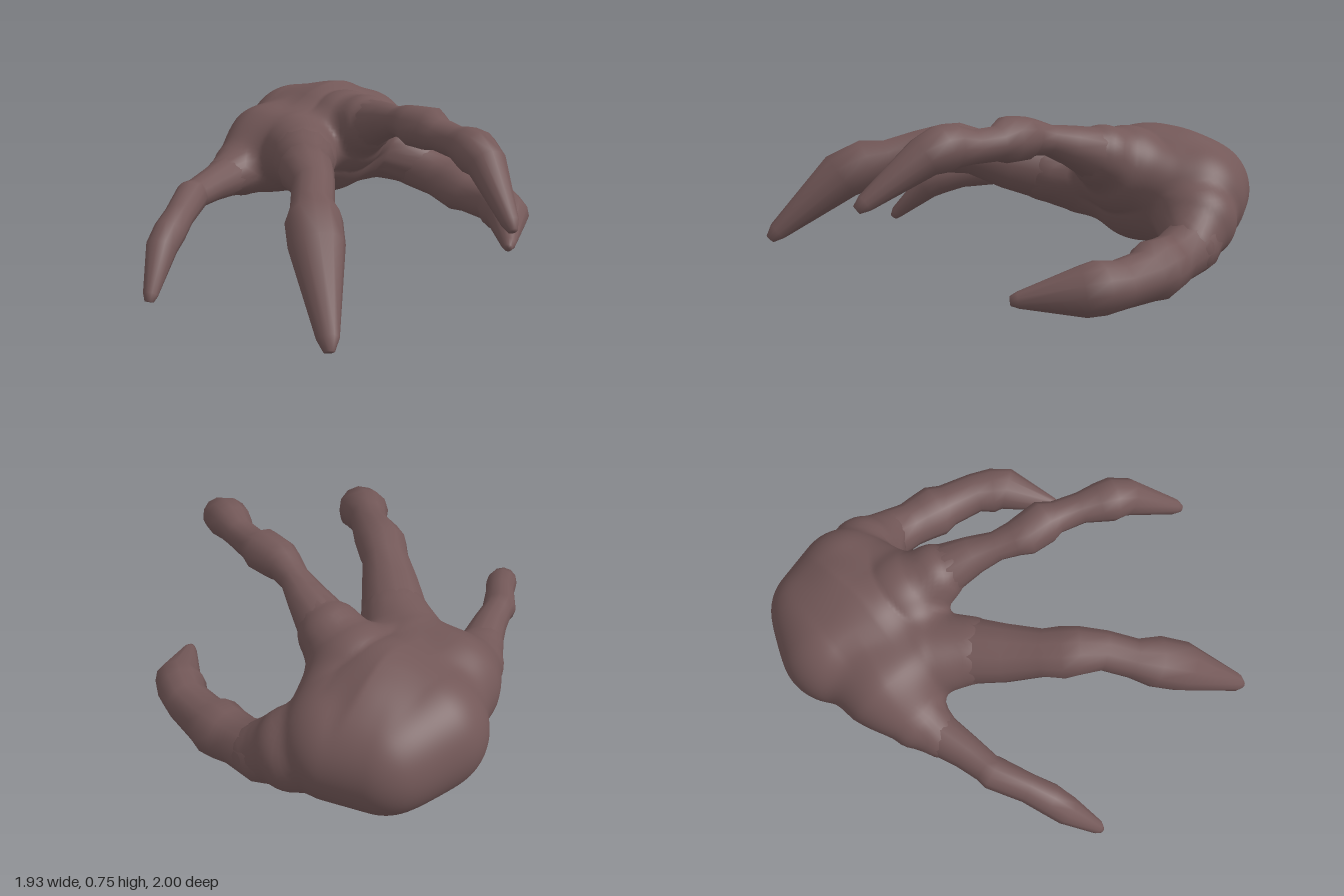
import * as THREE from 'three';
import { mergeVertices } from 'three/addons/utils/BufferGeometryUtils.js';

const UP = new THREE.Vector3(0, 1, 0);
const material = new THREE.MeshStandardMaterial({ color: 0x735858, side: THREE.DoubleSide });

// Finger skinned over stations [x, y, z, radius], root to tip; swollen stations are knuckles
function finger(stations, sides = 12) {
  const centres = stations.map(s => new THREE.Vector3(s[0], s[1], s[2]));
  const positions = [], index = [];
  centres.forEach((c, i) => {
    const from = centres[Math.max(i - 1, 0)], to = centres[Math.min(i + 1, centres.length - 1)];
    const dir = to.clone().sub(from).normalize();
    const u = UP.clone().cross(dir).normalize(), v = dir.clone().cross(u);
    for (let j = 0; j < sides; j++) {
      const t = j / sides * Math.PI * 2, r = stations[i][3];
      const p = c.clone().addScaledVector(u, r * Math.cos(t)).addScaledVector(v, r * Math.sin(t));
      positions.push(p.x, p.y, p.z);
    }
  });
  const tip = centres.length * sides;
  positions.push(...centres[centres.length - 1].toArray());
  for (let i = 0; i < centres.length; i++) {
    for (let j = 0; j < sides; j++) {
      const a = i * sides + j, b = i * sides + (j + 1) % sides;
      if (i === centres.length - 1) index.push(tip, a, b);
      else index.push(a, b, a + sides, b, b + sides, a + sides);
    }
  }
  const geometry = new THREE.BufferGeometry();
  geometry.setAttribute('position', new THREE.Float32BufferAttribute(positions, 3));
  geometry.setIndex(index);
  geometry.computeVertexNormals();
  return geometry;
}

// Distance from p to a chain of tapered capsules through [x, y, z, radius]
function chainDistance(p, chain) {
  let best = Infinity;
  for (let i = 0; i < chain.length - 1; i++) {
    const a = new THREE.Vector3(...chain[i]), b = new THREE.Vector3(...chain[i + 1]);
    const ab = b.sub(a), ap = p.clone().sub(a);
    const t = THREE.MathUtils.clamp(ap.dot(ab) / ab.lengthSq(), 0, 1);
    const r = THREE.MathUtils.lerp(chain[i][3], chain[i + 1][3], t);
    best = Math.min(best, ap.addScaledVector(ab, -t).length() - r);
  }
  return best;
}

// Palm: a sphere whose vertices move out to the blended surface of several chains
function palm(centre, chains, blend = 0.09) {
  const surface = p => chains.map(c => chainDistance(p, c)).reduce((a, b) => {
    const h = Math.max(blend - Math.abs(a - b), 0) / blend;
    return Math.min(a, b) - h * h * blend / 4;
  });
  const ball = new THREE.IcosahedronGeometry(1, 26);
  ball.deleteAttribute('normal');
  ball.deleteAttribute('uv');
  const geometry = mergeVertices(ball, 1e-4);
  const position = geometry.attributes.position;
  const dir = new THREE.Vector3(), p = new THREE.Vector3();
  for (let i = 0; i < position.count; i++) {
    dir.fromBufferAttribute(position, i);
    p.copy(centre);
    for (let step = 0; step < 30; step++) p.addScaledVector(dir, -0.8 * surface(p));
    position.setXYZ(i, p.x, p.y, p.z);
  }
  geometry.computeVertexNormals();
  return geometry;
}

export function createModel() {
  const hand = new THREE.Group();
  hand.name = 'clawedHand';
  const add = (name, geometry) => {
    const mesh = new THREE.Mesh(geometry, material);
    mesh.name = name;
    hand.add(mesh);
  };

  // one chain per finger, from the heel out into the finger root, and one for the thumb web
  add('palm', palm(new THREE.Vector3(0.36, 0.36, -0.55), [
    [[0.58, 0.32, -0.7, 0.245], [0.66, 0.32, -0.52, 0.245], [0.77, 0.26, -0.38, 0.18],
      [0.83, 0.18, -0.22, 0.125], [0.84, 0.15, -0.12, 0.08]],
    [[0.38, 0.335, -0.73, 0.262], [0.4, 0.36, -0.52, 0.28], [0.4, 0.44, -0.36, 0.21],
      [0.38, 0.525, -0.2, 0.145], [0.36, 0.57, -0.09, 0.1], [0.345, 0.59, -0.02, 0.06]],
    [[0.13, 0.35, -0.61, 0.22], [0.12, 0.38, -0.42, 0.2], [0.02, 0.42, -0.24, 0.16],
      [-0.1, 0.46, -0.1, 0.1]],
    [[0.08, 0.34, -0.63, 0.195], [-0.1, 0.3, -0.59, 0.14], [-0.23, 0.3, -0.54, 0.1],
      [-0.36, 0.31, -0.48, 0.05]],
    [[0.53, 0.38, -0.54, 0.235], [0.57, 0.4, -0.4, 0.13]],
  ]));

  add('thumb', finger([
    [0.77, 0.25, -0.4, 0.15], [0.83, 0.18, -0.24, 0.13], [0.835, 0.155, -0.1, 0.112],
    [0.84, 0.145, -0.03, 0.12], [0.84, 0.14, 0.05, 0.13], [0.84, 0.13, 0.12, 0.108],
    [0.825, 0.13, 0.28, 0.1], [0.79, 0.13, 0.36, 0.112], [0.76, 0.125, 0.43, 0.105],
    [0.57, 0.09, 0.595, 0.035], [0.545, 0.085, 0.615, 0.02],
  ]));

  add('middleFinger', finger([
    [0.4, 0.47, -0.3, 0.14], [0.375, 0.54, -0.16, 0.125], [0.34, 0.6, 0, 0.088],
    [0.31, 0.63, 0.1, 0.068], [0.29, 0.65, 0.18, 0.08], [0.28, 0.65, 0.23, 0.095],
    [0.285, 0.66, 0.34, 0.1], [0.28, 0.65, 0.4, 0.075], [0.26, 0.65, 0.52, 0.072],
    [0.235, 0.66, 0.6, 0.09], [0.22, 0.655, 0.66, 0.1], [0.2, 0.63, 0.74, 0.085],
    [0.1, 0.47, 0.96, 0.038], [0.085, 0.445, 0.99, 0.02],
  ]));

  add('indexFinger', finger([
    [0.08, 0.4, -0.32, 0.15], [0.02, 0.42, -0.24, 0.158], [-0.1, 0.46, -0.1, 0.135],
    [-0.2, 0.51, 0.03, 0.11], [-0.25, 0.53, 0.1, 0.12], [-0.28, 0.535, 0.16, 0.112],
    [-0.34, 0.53, 0.26, 0.092], [-0.43, 0.49, 0.36, 0.092], [-0.49, 0.47, 0.44, 0.118],
    [-0.56, 0.42, 0.54, 0.115], [-0.72, 0.18, 0.79, 0.045], [-0.74, 0.145, 0.82, 0.022],
  ]));

  add('outerFinger', finger([
    [-0.05, 0.3, -0.6, 0.12], [-0.22, 0.3, -0.54, 0.1], [-0.36, 0.31, -0.48, 0.08],
    [-0.47, 0.31, -0.44, 0.07], [-0.5, 0.31, -0.43, 0.078], [-0.64, 0.28, -0.33, 0.068],
    [-0.73, 0.25, -0.27, 0.074], [-0.8, 0.21, -0.23, 0.07], [-0.93, 0.065, -0.13, 0.033],
    [-0.945, 0.04, -0.12, 0.02],
  ]));

  return hand;
}
